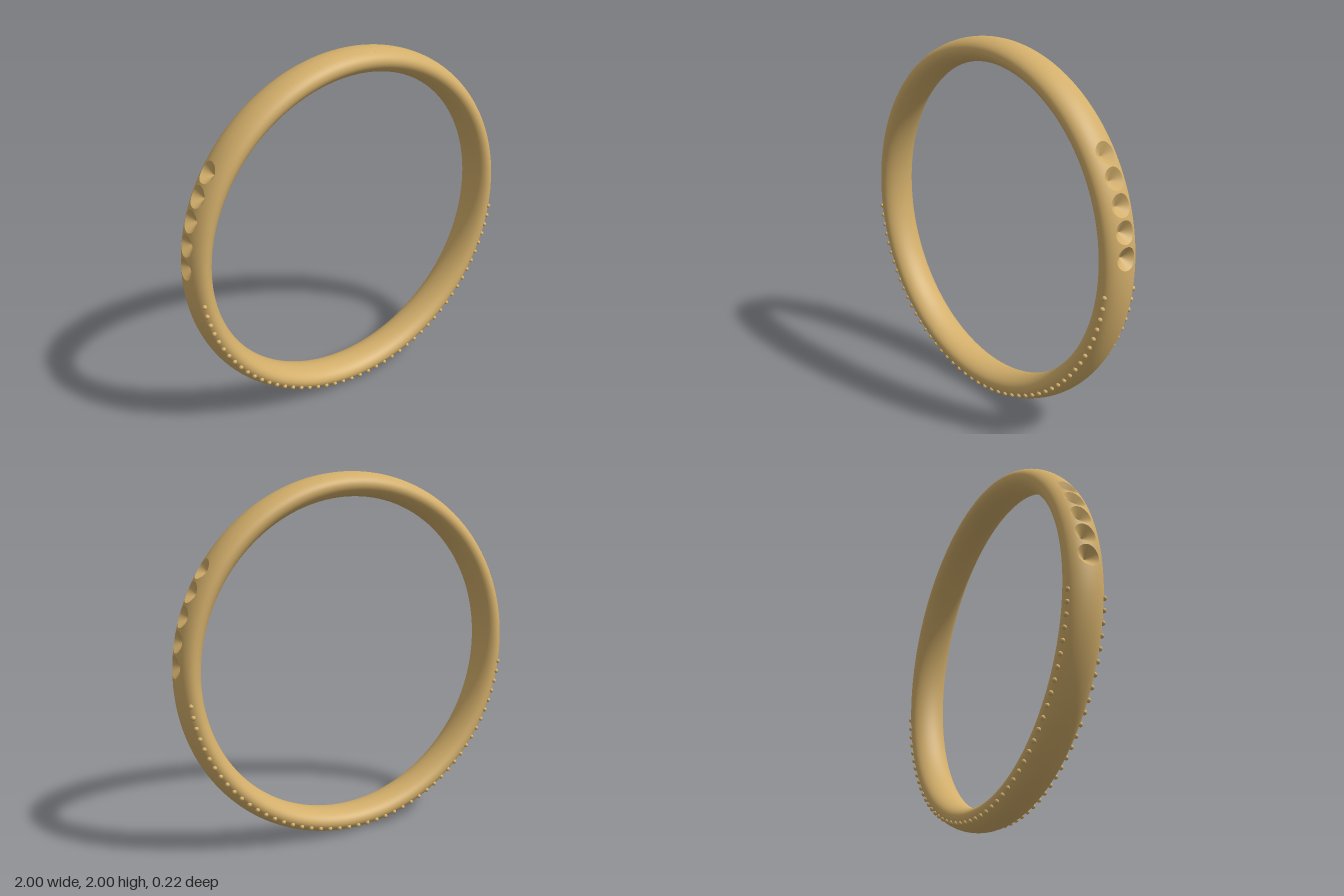
import * as THREE from 'three';
import { ParametricGeometry } from 'three/addons/geometries/ParametricGeometry.js';

const DEG = Math.PI / 180;
const R = 0.935, THICK = 0.065, WIDTH = 0.105;   // centre line and half sizes of the oval section
const STEP = 7.35 * DEG, FIRST = 3.75 * DEG, COUNT = 5; // row of seats on each side
const SEAT_R = 0.058, SEAT_DEPTH = 0.05, HALF_Z = 0.064;

export function createModel() {
  const group = new THREE.Group();
  const gold = new THREE.MeshStandardMaterial({ color: 0xd2ae6a });

  const add = (name, geometry, parent = group) => {
    const mesh = new THREE.Mesh(geometry, gold);
    mesh.name = name;
    parent.add(mesh);
    return mesh;
  };
  const place = (r, theta, z, out) => out.set(r * Math.cos(theta), 1 + r * Math.sin(theta), z);
  // Point on the outer dome, given its angle round the ring and its z
  const dome = (theta, z, out) =>
    place(R + THICK * Math.sqrt(1 - (z / WIDTH) ** 2), theta, z, out);

  // Part of the band between two ring angles and two section angles
  const sweep = (t0, t1, p0, p1, nt, np) => new ParametricGeometry((u, v, out) => {
    const p = p0 + (p1 - p0) * v;
    place(R + THICK * Math.cos(p), t0 + (t1 - t0) * u, WIDTH * Math.sin(p), out);
  }, nt, np);

  // Band: inside and flanks all round, outer crown only where there are no seats
  const edge = Math.asin(HALF_Z / WIDTH);
  const rowStart = FIRST - STEP / 2, rowEnd = rowStart + COUNT * STEP;
  add('bandInside', sweep(0, 2 * Math.PI, edge, 2 * Math.PI - edge, 256, 48));
  add('bandCrownTop', sweep(rowEnd, Math.PI - rowEnd, -edge, edge, 80, 16));
  add('bandCrownBottom', sweep(Math.PI - rowStart, 2 * Math.PI + rowStart, -edge, edge, 128, 16));

  // Conical seats, each with a patch of crown from a square border to its round rim
  const seats = new THREE.Group();
  seats.name = 'seats';
  group.add(seats);
  const tip = new THREE.Vector3();
  for (const side of [1, -1]) {
    for (let i = 0; i < COUNT; i++) {
      const angle = FIRST + i * STEP;
      const theta = side > 0 ? angle : Math.PI - angle;
      add('seatSurround', new ParametricGeometry((u, v, out) => {
        const c = Math.cos(v * 2 * Math.PI), s = Math.sin(v * 2 * Math.PI);
        const k = 1 / Math.max(Math.abs(c), Math.abs(s));
        const a = THREE.MathUtils.lerp(SEAT_R * c, STEP / 2 * c * k, u);
        const z = THREE.MathUtils.lerp(SEAT_R * s, HALF_Z * s * k, u);
        dome(theta + a, z, out);
      }, 4, 48), seats);
      add('seatHollow', new ParametricGeometry((u, v, out) => {
        const w = v * 2 * Math.PI;
        dome(theta + SEAT_R * Math.cos(w), SEAT_R * Math.sin(w), out);
        place(R + THICK - SEAT_DEPTH, theta, 0, tip);
        out.lerp(tip, (1 - u) * 0.998);
      }, 6, 48), seats);
    }
  }

  // Small beads along the lower half of both rims
  const beads = new THREE.Group();
  beads.name = 'beads';
  group.add(beads);
  const beadGeometry = new THREE.SphereGeometry(0.0125, 14, 10);
  for (const z of [0.099, -0.099]) {
    for (let i = -23; i <= 23; i++) {
      place(0.961, (270 + i * 3.6) * DEG, z, add('bead', beadGeometry, beads).position);
    }
  }
  return group;
}
